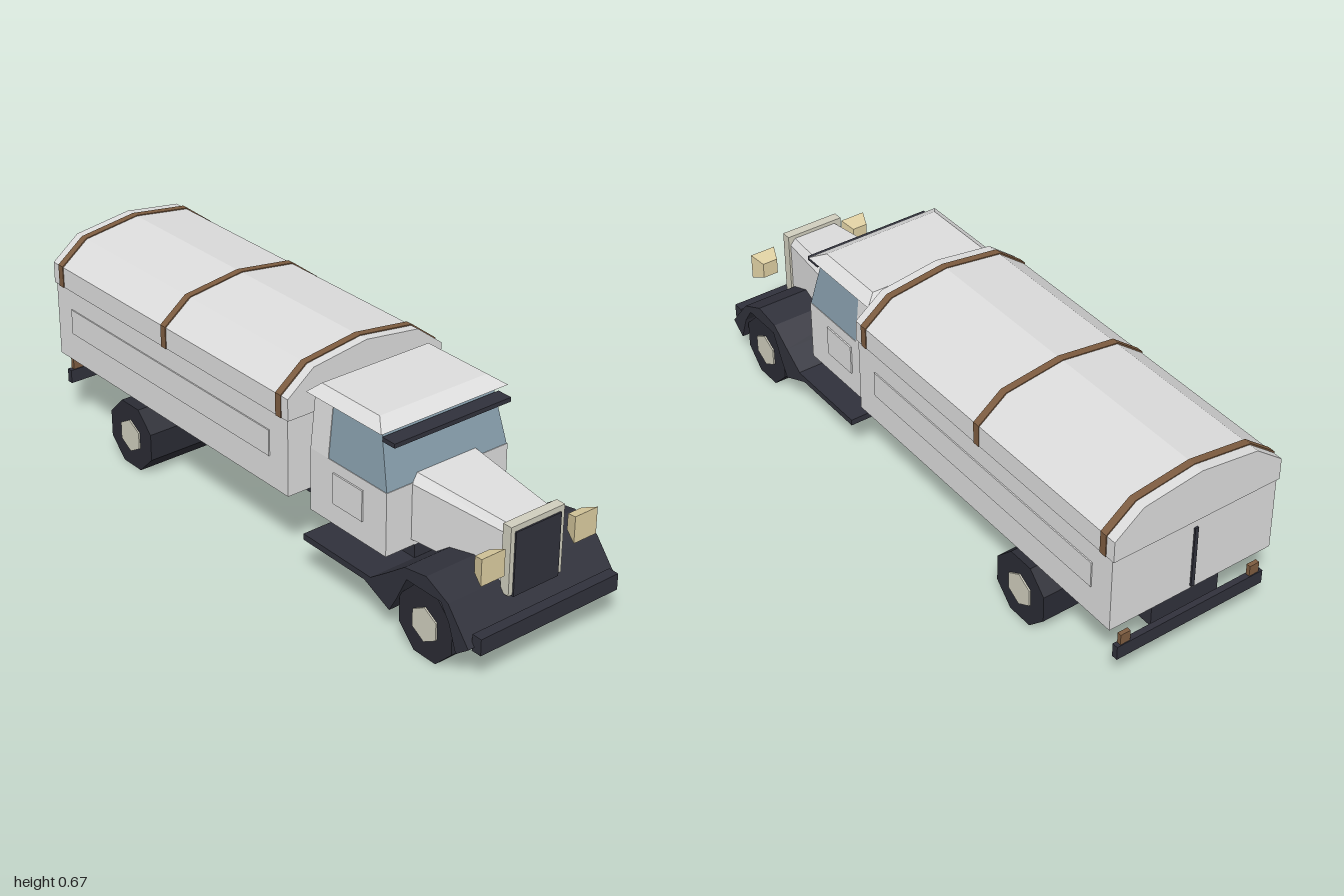
import * as THREE from 'three';

const mat = (name, color) => {
  const m = new THREE.MeshStandardMaterial({ color });
  m.name = name;
  m.flatShading = true;
  return m;
};

export function createModel() {
  const paint = mat('lightGreyPaint', 0xdcdcdc);
  const dark = mat('darkChassis', 0x30313b);
  const rubber = mat('tyreRubber', 0x2a2b34);
  const glass = mat('windowGlass', 0x879eac);
  const brown = mat('brownStrap', 0x7d5c40);
  const metal = mat('paleMetal', 0xcfcdbd);
  const lamp = mat('headlightTan', 0xdccda0);

  const truck = new THREE.Group();
  truck.name = 'truck';

  const add = (name, geo, material) => {
    const mesh = new THREE.Mesh(geo, material);
    mesh.name = name;
    truck.add(mesh);
    return mesh;
  };

  // Box given by its extents on each axis
  const box = (name, material, x0, x1, y0, y1, z0, z1) => {
    const g = new THREE.BoxGeometry(x1 - x0, y1 - y0, z1 - z0);
    g.translate((x0 + x1) / 2, (y0 + y1) / 2, (z0 + z1) / 2);
    return add(name, g, material);
  };

  // Solid between two matching loops, counter-clockwise seen from loop b
  const loft = (a, b) => {
    const pos = [], n = a.length;
    const tri = (...p) => p.forEach(v => pos.push(...v));
    for (let i = 0; i < n; i++) {
      const j = (i + 1) % n;
      tri(a[i], a[j], b[j]);
      tri(a[i], b[j], b[i]);
      if (i > 0 && i < n - 1) {
        tri(b[0], b[i], b[i + 1]);
        tri(a[0], a[i + 1], a[i]);
      }
    }
    const g = new THREE.BufferGeometry();
    g.setAttribute('position', new THREE.Float32BufferAttribute(pos, 3));
    g.computeVertexNormals();
    return g;
  };
  const level = (w, y, z0, z1) => [[w, y, z1], [w, y, z0], [-w, y, z0], [-w, y, z1]];

  // Front-on outline extruded from z0 to z1
  const extrudeZ = (pts, z0, z1) => {
    const s = new THREE.Shape(pts.map(p => new THREE.Vector2(...p)));
    const g = new THREE.ExtrudeGeometry(s, { depth: z1 - z0, bevelEnabled: false });
    return g.translate(0, 0, z0);
  };

  // Chassis and running board
  box('chassis', dark, -0.12, 0.12, 0.155, 0.225, -0.97, 0.57);
  box('runningBoard', dark, -0.283, 0.283, 0.135, 0.155, 0.27, 0.57);

  // Front fender: side outline in (z, y), swept across the width
  const fender = extrudeZ([
    [0.975, 0.125], [0.89, 0.23], [0.8, 0.272], [0.71, 0.257], [0.64, 0.205], [0.57, 0.155],
    [0.54, 0.155], [0.54, 0.135], [0.65, 0.087], [0.68, 0.14], [0.72, 0.222],
    [0.86, 0.222], [0.895, 0.17], [0.925, 0.087],
  ], -0.282, 0.282);
  add('frontFender', fender.rotateY(-Math.PI / 2), dark);
  box('frontBumper', dark, -0.26, 0.26, 0.11, 0.163, 0.965, 1);

  // Wheels: one wide octagonal drum per axle with hexagonal hubs
  for (const [end, z, half] of [['front', 0.79, 0.272], ['rear', -0.6, 0.288]]) {
    const drum = new THREE.CylinderGeometry(0.1175, 0.1175, half * 2, 8);
    drum.rotateY(Math.PI / 8).rotateZ(Math.PI / 2).translate(0, 0.1086, z);
    add(end + 'Wheels', drum, rubber);
    for (const side of [-1, 1]) {
      const hub = new THREE.CylinderGeometry(0.056, 0.056, 0.01, 6);
      hub.rotateY(Math.PI / 6).rotateZ(Math.PI / 2).translate(side * half, 0.1086, z);
      add(end + 'Hub', hub, metal);
    }
  }

  // Cab: lower body, tapered window band, rear wall and chamfered roof
  box('cabBody', paint, -0.228, 0.228, 0.2, 0.405, 0.235, 0.57);
  add('cabWindows', loft(level(0.226, 0.405, 0.315, 0.568), level(0.207, 0.587, 0.315, 0.52)), glass);
  add('cabRearWall', loft(level(0.228, 0.405, 0.235, 0.315), level(0.209, 0.587, 0.235, 0.315)), paint);
  add('cabRoof', loft(level(0.236, 0.585, 0.225, 0.553), level(0.2, 0.612, 0.252, 0.503)), paint);
  box('sunVisor', dark, -0.217, 0.217, 0.551, 0.565, 0.535, 0.587);
  for (const s of [-1, 1]) {
    const panel = new THREE.BoxGeometry(0.008, 0.1, 0.13);
    add('doorPanel', panel.translate(s * 0.229, 0.32, 0.405), paint);
  }

  // Hood narrowing towards the grille
  const hoodSection = (w, top, yBase, ySide, yTop, z) => [
    [w, yBase, z], [w, ySide, z], [top, yTop, z], [-top, yTop, z], [-w, ySide, z], [-w, yBase, z],
  ];
  add('hood', loft(hoodSection(0.135, 0.11, 0.222, 0.402, 0.428, 0.56),
    hoodSection(0.092, 0.075, 0.222, 0.385, 0.405, 0.91)), paint);
  box('grilleShell', metal, -0.1, 0.1, 0.2, 0.418, 0.9, 0.932);
  box('grille', dark, -0.085, 0.085, 0.195, 0.4, 0.91, 0.937);

  // Headlights flare towards the front
  for (const s of [-1, 1]) {
    const face = (w, h, z) => [[1, -1], [1, 1], [-1, 1], [-1, -1]]
      .map(([u, v]) => [s * 0.174 + u * w, 0.328 + v * h, z]);
    add('headlight', loft(face(0.026, 0.026, 0.9), face(0.043, 0.043, 0.945)), lamp);
  }

  // Cargo body with raised side panels
  box('cargoBody', paint, -0.287, 0.287, 0.25, 0.505, -0.992, 0.205);
  for (const s of [-1, 1]) {
    const panel = new THREE.BoxGeometry(0.008, 0.085, 1.03);
    add('cargoSidePanel', panel.translate(s * 0.287, 0.392, -0.395), paint);
  }
  box('rearDoorSeam', dark, -0.006, 0.006, 0.26, 0.47, -0.998, -0.985);

  // Faceted canopy held by three straps
  const arch = e => [
    [-0.29 - e, 0.5], [0.29 + e, 0.5], [0.29 + e, 0.57 + e],
    [0.196 + e, 0.643 + e], [0, 0.67 + e], [-0.196 - e, 0.643 + e], [-0.29 - e, 0.57 + e],
  ];
  add('canopy', extrudeZ(arch(0), -1, 0.21), paint);
  for (const z of [0.168, -0.394, -0.956]) {
    add('canopyStrap', extrudeZ(arch(0.003), z - 0.012, z + 0.012), brown);
  }

  // Rear bumper and tail lamps
  box('rearBumper', dark, -0.262, 0.262, 0.132, 0.178, -1, -0.98);
  for (const s of [-1, 1]) {
    const tail = new THREE.BoxGeometry(0.034, 0.036, 0.014);
    add('tailLamp', tail.translate(s * 0.232, 0.196, -0.99), brown);
  }

  return truck;
}
